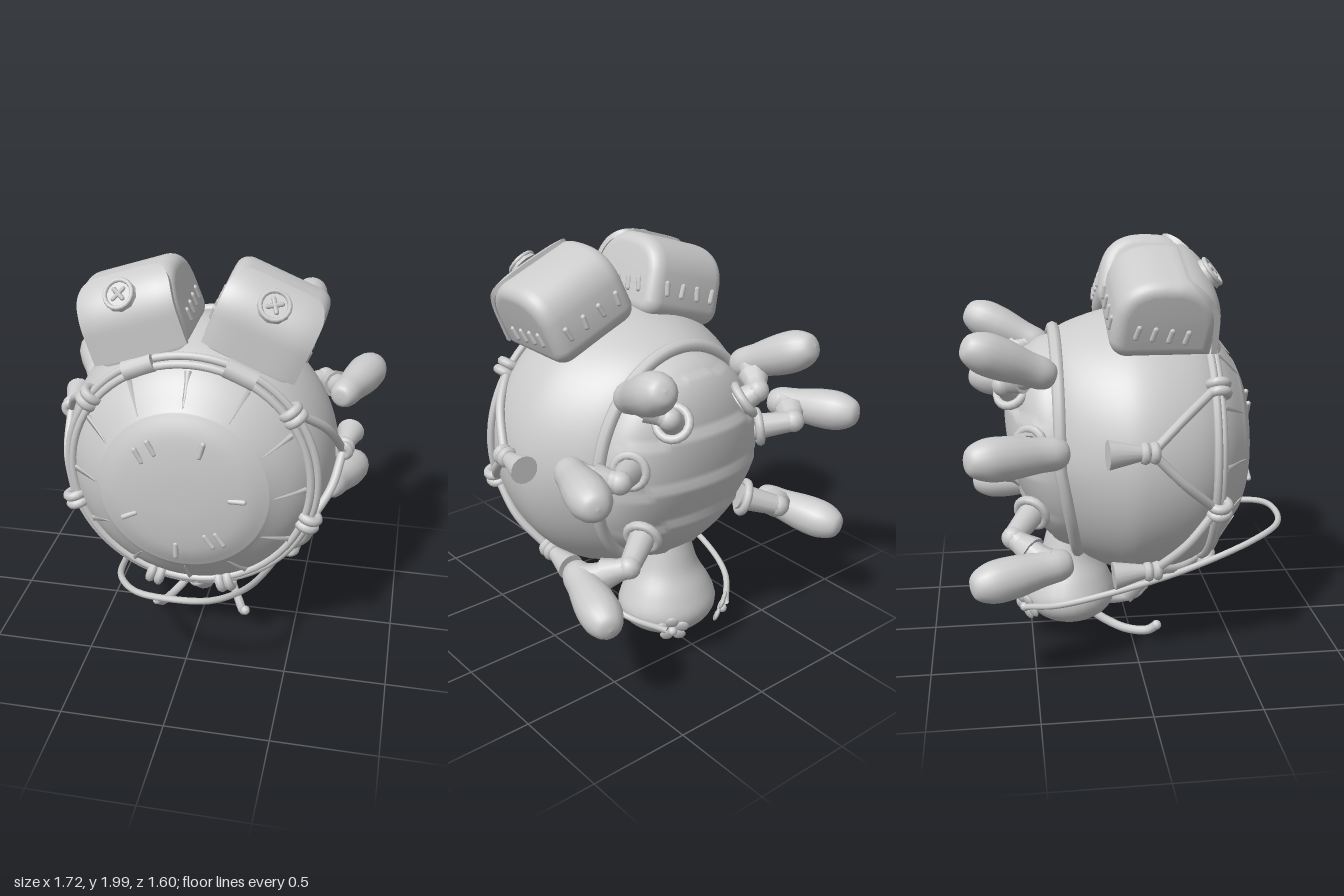
import * as THREE from 'three';
import { toCreasedNormals } from 'three/addons/utils/BufferGeometryUtils.js';

const V = (x, y, z) => new THREE.Vector3(x, y, z);
const UP = V(0, 1, 0);
const CY = 1.0; // height of the shell axis
const mat = new THREE.MeshStandardMaterial({ color: 0xcccccc, side: THREE.DoubleSide });

function add(parent, geo, name, pos, dir) {
  const m = new THREE.Mesh(geo, mat);
  m.name = name;
  if (pos) m.position.copy(pos);
  if (dir) m.quaternion.setFromUnitVectors(UP, dir.clone().normalize());
  parent.add(m);
  return m;
}
const tube = (parent, pts, r, name, closed = false, seg = 32) =>
  add(parent, new THREE.TubeGeometry(new THREE.CatmullRomCurve3(pts, closed), seg, r, 8, closed), name);
function rod(parent, a, b, ra, rb, name, sides = 12) {
  const d = b.clone().sub(a);
  return add(parent, new THREE.CylinderGeometry(rb, ra, d.length(), sides), name, a.clone().lerp(b, 0.5), d);
}
function ring(parent, pos, dir, R, r, name) {
  return add(parent, new THREE.TorusGeometry(R, r, 8, 18).rotateX(Math.PI / 2), name, pos, dir);
}
const lathe = (pts, seg = 24) => new THREE.LatheGeometry(
  new THREE.SplineCurve(pts.map(p => new THREE.Vector2(...p))).getPoints(pts.length * 5)
    .map(p => p.setX(Math.max(0, p.x))), seg);
function warp(geo, rule) {
  const p = geo.attributes.position, v = V();
  for (let i = 0; i < p.count; i++) {
    rule(v.fromBufferAttribute(p, i));
    p.setXYZ(i, v.x, v.y, v.z);
  }
  geo.computeVertexNormals();
  return geo;
}

// Shell profile: [radius, z]
const shell = [[0.54, -0.38], [0.59, -0.3], [0.64, -0.15], [0.67, 0], [0.66, 0.15], [0.615, 0.3], [0.53, 0.42],
  [0.42, 0.51], [0.39, 0.53], [0.3, 0.565], [0.15, 0.585], [0, 0.59]];
function shellZ(r) {
  for (let i = 4; i < shell.length - 1; i++) {
    const [r0, z0] = shell[i], [r1, z1] = shell[i + 1];
    if (r <= r0 && r >= r1) return z0 + (z1 - z0) * (r0 - r) / (r0 - r1);
  }
  return 0.6;
}
// Rear opening is narrower in x and leans forward at the bottom
function rearRule(v) {
  if (v.z >= 0) return;
  const k = -v.z / 0.37;
  v.x *= 1 - 0.165 * k * k;
  v.z += k * 0.1 * Math.max(0, -v.y / 0.55);
}
const polar = (deg, r, z) => V(r * Math.cos(deg * Math.PI / 180), CY + r * Math.sin(deg * Math.PI / 180), z);

function buildBody(g) {
  add(g, warp(lathe(shell, 64).rotateX(Math.PI / 2), rearRule), 'shell', V(0, CY, 0));
  const rim = [];
  for (let i = 0; i < 32; i++) {
    const v = polar(i * 11.25, 0.565, -0.36).sub(V(0, CY, 0));
    rearRule(v);
    rim.push(v.add(V(0, CY, 0)));
  }
  tube(g, rim, 0.032, 'shellRim', true, 80);
  // Overlapping belly plates
  add(g, warp(new THREE.SphereGeometry(1, 48, 60, Math.PI, Math.PI), v => {
    const d = Math.pow(Math.abs(v.z), 0.8), s = v.y * 2.3 + 0.25 * v.x * v.x + 10;
    v.set(v.x * 0.465, v.y * 0.54, -0.33 - d * (0.265 + 0.022 * (s - Math.floor(s))) + 0.1 * Math.max(0, -v.y));
    v.z -= 0.05 * d * Math.max(0, v.y);
  }), 'belly', V(0, CY, 0));
  // Shell stitches and radial nicks
  for (const [x, y, a] of [[-0.2, 1.19, 30], [-0.14, 1.235, 30], [0.095, 1.245, -15], [0.26, 1, 90], [-0.25, 0.87, -63],
    [-0.03, 0.7, 0], [0.13, 0.77, 35], [0.18, 0.785, 35]]) {
    const m = add(g, new THREE.CapsuleGeometry(0.013, 0.065, 4, 8), 'shellStitch',
      V(x, y, shellZ(Math.hypot(x, y - CY)) + 0.002));
    m.rotation.z = a * Math.PI / 180;
  }
  for (let a = 0; a < 360; a += 30) {
    const p = polar(a, 0.55, shellZ(0.55) + 0.004), q = polar(a, 0.42, shellZ(0.42) + 0.008);
    rod(g, p, q, 0.018, 0.002, 'shellNick', 4);
  }
}

function buildNet(g) {
  for (const [r, z] of [[0.605, 0.35], [0.575, 0.38]])
    add(g, new THREE.TorusGeometry(r, 0.02, 8, 72), 'ropeRing', V(0, CY, z));
  const knots = [37, -18, -73, -107, -162, -217];
  // Tassel knots: [angle, radius, z]
  const tassels = [[5, 0.7, 0.08], [-49, 0.7, 0.08], [-91, 0.73, 0.15], [-131, 0.7, 0.08], [-191, 0.7, 0.03]];
  const knot = (p, d, s) => {
    for (const o of [-0.022, 0.022]) ring(g, p.clone().addScaledVector(d, o), d, s, 0.024, 'knot');
  };
  knots.forEach(a => {
    const t = a * Math.PI / 180;
    knot(polar(a, 0.6, 0.365), V(-Math.sin(t), Math.cos(t), 0), 0.04);
  });
  tassels.forEach(([a, r, z], i) => {
    const low = i === 2, p = polar(a, r, z);
    for (const k of [knots[i], knots[i + 1]])
      tube(g, [polar(k, 0.61, 0.35), polar((k + a) / 2, 0.665, (z + 0.36) / 2), p], 0.022, 'netRope', false, 14);
    const d = low ? V(0, -0.55, -0.83) : polar(a, 0.1, -1).sub(V(0, CY, 0)).normalize();
    knot(p.clone().addScaledVector(d, 0.01), d, 0.028);
    rod(g, p.clone().addScaledVector(d, 0.03), p.clone().addScaledVector(d, 0.2), 0.03, 0.068, 'tassel', 16);
  });
}

function buildBag(g, x, tilt) {
  const bag = new THREE.Group();
  bag.name = 'bag';
  bag.position.set(x, 1.745, 0.115);
  bag.rotation.z = tilt;
  g.add(bag);
  // Loaf-shaped side outline, extruded across the width
  const s = new THREE.Shape();
  s.moveTo(0.17, -0.125);
  s.lineTo(0.185, -0.01);
  s.absarc(0.045, -0.01, 0.14, 0, Math.PI / 2, false);
  s.bezierCurveTo(-0.07, 0.14, -0.14, 0.12, -0.165, 0.03);
  s.lineTo(-0.185, -0.1);
  s.quadraticCurveTo(-0.185, -0.125, -0.16, -0.125);
  s.closePath();
  const geo = new THREE.ExtrudeGeometry(s, { depth: 0.33, bevelSize: 0.06, bevelThickness: 0.07, bevelSegments: 6, curveSegments: 12 });
  add(bag, toCreasedNormals(geo.translate(0, 0, -0.165).rotateY(-Math.PI / 2), 0.9), 'bagBody');
  // Flap: a slab with rounded upper corners, bent over the front
  const R = 0.207;
  const flap = warp(new THREE.BoxGeometry(0.46, 0.42, 0.028, 16, 24, 1).translate(0, 0.06, 0), v => {
    const corner = Math.max(0, (v.y - 0.13) / 0.14);
    v.x *= 1 - 0.32 * (1 - Math.sqrt(1 - corner * corner * 0.999));
    const out = R + v.z, a = Math.max(0, v.y) / R, edge = 0.02 * Math.pow(Math.abs(v.x) / 0.23, 4);
    v.y = -0.01 + Math.min(0, v.y) + (out - edge) * Math.sin(a);
    v.z = 0.045 + (out - edge) * Math.cos(a);
  });
  add(bag, toCreasedNormals(flap, 0.8), 'flap');
  const button = new THREE.Group();
  button.name = 'button';
  button.position.set(0, 0.13, 0.225);
  button.rotation.x = -0.68;
  bag.add(button);
  add(button, new THREE.CylinderGeometry(0.07, 0.078, 0.025, 10), 'buttonDisc', V(0, 0, 0.005), V(0, 0, 1));
  ring(button, V(0, 0, 0.018), V(0, 0, 1), 0.066, 0.011, 'buttonRim');
  for (const a of [0.6, 2.17])
    add(button, new THREE.CapsuleGeometry(0.011, 0.065, 3, 6), 'buttonThread', V(0, 0, 0.02)).rotation.z = a;
  // Stitches on both ends and the back
  for (let i = 0; i < 4; i++) {
    for (const side of [-1, 1])
      add(bag, new THREE.CapsuleGeometry(0.014, 0.05, 3, 6), 'bagStitch', V(side * 0.235, -0.07 + i * 0.01, 0.1 - i * 0.075), V(0, 1, 0.3));
    add(bag, new THREE.CapsuleGeometry(0.014, 0.05, 3, 6), 'bagStitch', V(-0.15 + i * 0.1, -0.03, -0.236), V(i % 2 ? 0.15 : -0.1, 1, 0.15));
  }
  // Strap loop around the rope ring
  const a = Math.PI / 2 - Math.sign(x) * 0.41;
  add(g, new THREE.CylinderGeometry(0.05, 0.05, 0.15, 14), 'bagStrap',
    V(0.59 * Math.cos(a), CY + 0.59 * Math.sin(a), 0.36)).rotation.z = a;
}

// Legs on the +x side: socket, middle joint, ankle, toe
const LEGS = [
  [[0.2, 1.3, -0.56], [0.27, 1.36, -0.61], [0.36, 1.44, -0.46], [0.45, 1.59, -0.79]],
  [[0.38, 1.1, -0.48], [0.54, 1.13, -0.6], [0.67, 1.14, -0.43], [0.8, 1.16, -0.79]],
  [[0.3, 0.75, -0.48], [0.48, 0.68, -0.59], [0.63, 0.59, -0.42], [0.74, 0.55, -0.79]]];
function buildLeg(g, pts, side) {
  const leg = new THREE.Group();
  leg.name = side > 0 ? 'leftLeg' : 'rightLeg';
  g.add(leg);
  const [a, b, c, d] = pts.map(p => V(p[0] * side, p[1], p[2]));
  const dir = b.clone().sub(a).normalize();
  ring(leg, a.clone().addScaledVector(dir, 0.03), dir, 0.075, 0.022, 'legSocket');
  rod(leg, a, b, 0.066, 0.05, 'upperLeg', 10);
  add(leg, new THREE.SphereGeometry(0.055, 12, 8), 'knee', b);
  rod(leg, b, c, 0.05, 0.066, 'lowerLeg', 10);
  // Flared cuffs down the lower leg
  const shin = c.clone().sub(b);
  for (const t of [0.15, 0.55])
    rod(leg, b.clone().addScaledVector(shin, t), b.clone().addScaledVector(shin, t + 0.35), 0.05, 0.075, 'legCuff', 10);
  // Foot: long rounded shoe with the heel in front of the ankle
  const fd = d.clone().sub(c), heel = c.clone().addScaledVector(fd, -0.25), L = fd.length() * 1.25;
  const prof = [[0, 0], [0.05, 0.02], [0.074, 0.12], [0.08, 0.3], [0.097, 0.58], [0.094, 0.8], [0.058, 0.96], [0, 1]];
  add(leg, lathe(prof.map(([r, t]) => [r, t * L]), 16), 'foot', heel, fd);
}

function buildHead(g) {
  add(g, lathe([[0, 0.045], [0.12, 0.06], [0.21, 0.12], [0.24, 0.2], [0.205, 0.3], [0.15, 0.4], [0.12, 0.5], [0.1, 0.58]], 28)
    .scale(1.08, 1, 0.98), 'head', V(0, 0, -0.3));
  const loop = [];
  const half = [[0.2, 0.19, -0.53], [0.33, 0.25, -0.38], [0.39, 0.335, -0.1], [0.36, 0.42, 0.25], [0.29, 0.53, 0.6], [0.17, 0.565, 0.75]];
  half.forEach(p => loop.push(V(...p)));
  loop.push(V(0, 0.575, 0.785));
  half.slice().reverse().forEach(([x, y, z]) => loop.push(V(-x, y, z)));
  tube(g, loop, 0.016, 'reinLoop', false, 90);
  for (const s of [-1, 1]) {
    tube(g, [V(0.09, 0.12, -0.22), V(0.13, 0.06, -0.12), V(0.18, 0.03, -0.02), V(0.22, 0.035, 0.08), V(0.24, 0.07, 0.125)]
      .map(p => p.setX(p.x * s)), 0.023, 'feeler');
    add(g, new THREE.SphereGeometry(0.025, 10, 8), 'feelerTip', V(0.24 * s, 0.07, 0.125));
    // Flower at the end of the rein
    const flower = new THREE.Group();
    flower.name = 'flower';
    flower.position.set(0.16 * s, 0.18, -0.53);
    flower.rotation.set(-0.4, 0.6 * -s, 0);
    g.add(flower);
    for (let i = 0; i < 5; i++) {
      const a = i * Math.PI * 0.4;
      add(flower, new THREE.SphereGeometry(0.034, 10, 6).scale(1, 1, 0.35), 'petal', V(0.052 * Math.cos(a), 0.052 * Math.sin(a), 0));
    }
    add(flower, new THREE.SphereGeometry(0.024, 10, 8), 'flowerCentre', V(0, 0, -0.012));
  }
}

export function createModel() {
  const g = new THREE.Group();
  g.name = 'beetle';
  buildBody(g);
  buildNet(g);
  buildBag(g, -0.28, 0.32);
  buildBag(g, 0.325, -0.39);
  for (const side of [-1, 1]) LEGS.forEach(p => buildLeg(g, p, side));
  buildHead(g);
  return g;
}
